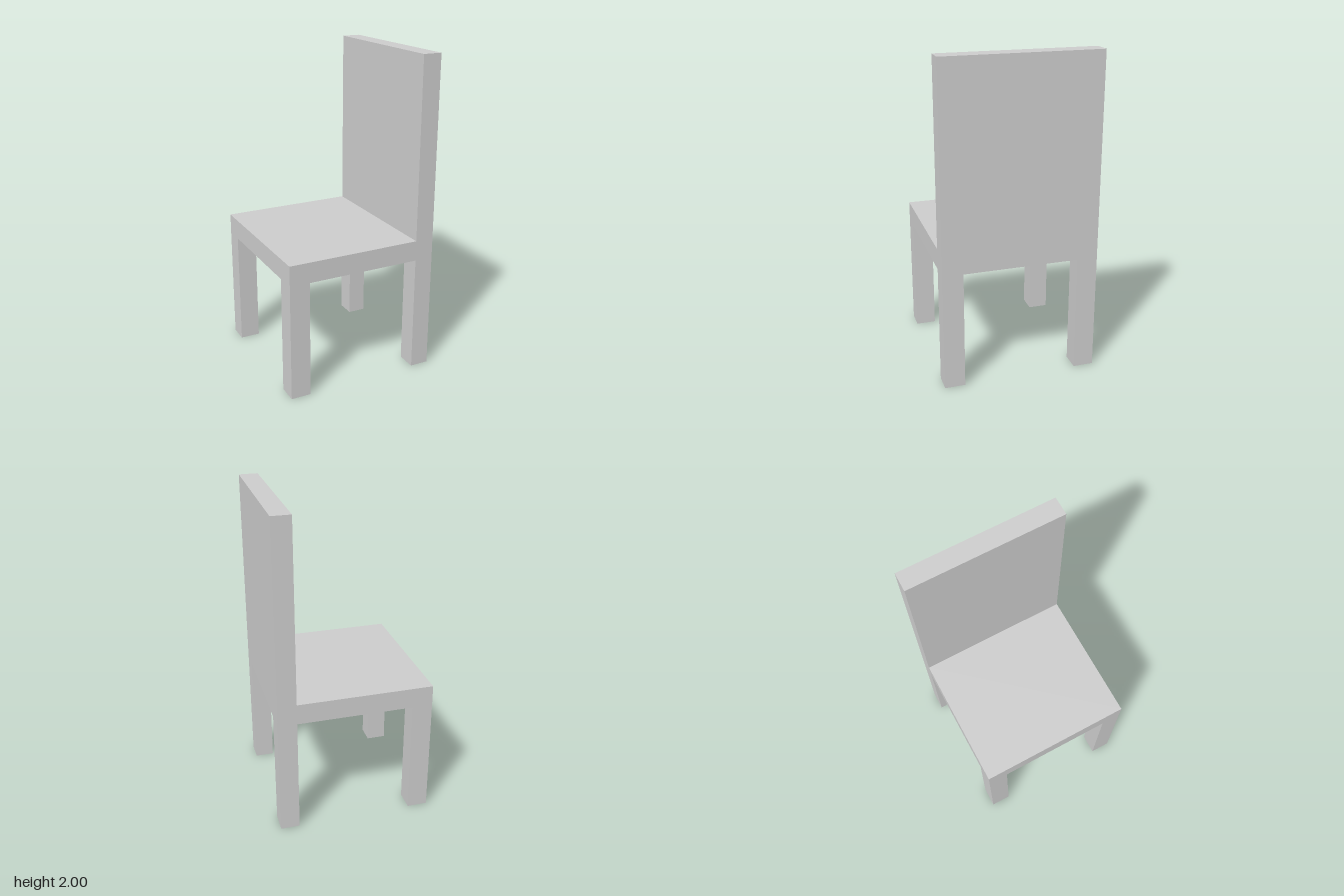
import * as THREE from 'three';

const material = new THREE.MeshStandardMaterial({ color: 0xcccccc, flatShading: true });

// Box given by its extents along each axis
function block(name, [x0, x1], [y0, y1], [z0, z1]) {
  const mesh = new THREE.Mesh(new THREE.BoxGeometry(x1 - x0, y1 - y0, z1 - z0), material);
  mesh.position.set((x0 + x1) / 2, (y0 + y1) / 2, (z0 + z1) / 2);
  mesh.name = name;
  return mesh;
}

export function createModel() {
  const chair = new THREE.Group();
  chair.name = 'chair';

  const half = 0.483;            // half width and half depth
  const inner = 0.357;           // inner face of the legs
  const backX = 0.365;           // front face of the backrest
  const seatBottom = 0.74, seatTop = 0.868;
  const width = [-half, half];

  // Seat slab and full-width backrest, which faces -x
  chair.add(block('seat', [-half, backX], [seatBottom, seatTop], width));
  chair.add(block('backrest', [backX, half], [seatBottom, 2], width));

  // Four square legs under the corners
  for (const [side, z] of [['Left', [inner, half]], ['Right', [-half, -inner]]]) {
    chair.add(block('seatLeg' + side, [-half, -inner], [0, seatBottom], z));
    chair.add(block('backrestLeg' + side, [backX, half], [0, seatBottom], z));
  }
  return chair;
}
